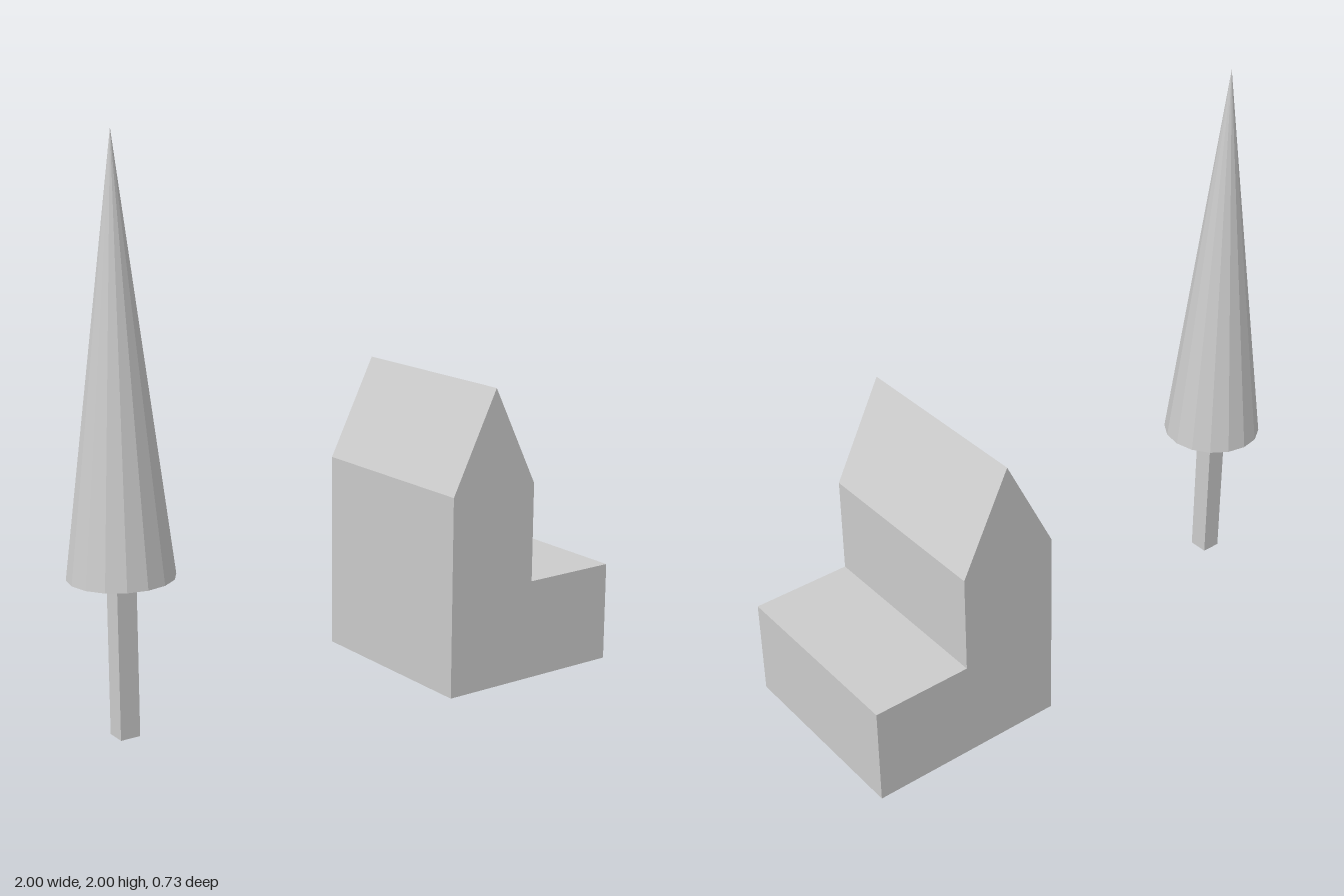
import * as THREE from 'three';

const material = new THREE.MeshStandardMaterial({ color: 0xcccccc, flatShading: true });

function addPart(parent, name, geometry, x = 0, y = 0, z = 0) {
  const mesh = new THREE.Mesh(geometry, material);
  mesh.name = name;
  mesh.position.set(x, y, z);
  parent.add(mesh);
}

// Tall conical tree on a square trunk
function createTree() {
  const tree = new THREE.Group();
  tree.name = 'tree';
  const trunkHeight = 0.55, crownHeight = 1.45;
  addPart(tree, 'trunk', new THREE.BoxGeometry(0.072, trunkHeight, 0.072), 0, trunkHeight / 2);
  addPart(tree, 'crown', new THREE.ConeGeometry(0.18, crownHeight, 16), 0, trunkHeight + crownHeight / 2);
  return tree;
}

// Gabled house with a low flat-roofed annex, one profile extruded along z
function createHouse() {
  const depth = 0.726;
  const profile = new THREE.Shape([
    [0.273, 0], [1, 0], [1, 0.364], [0.636, 0.364],
    [0.636, 0.727], [0.455, 1.09], [0.273, 0.727],
  ].map(([x, y]) => new THREE.Vector2(x, y)));
  const house = new THREE.Group();
  house.name = 'house';
  const walls = new THREE.ExtrudeGeometry(profile, { depth, bevelEnabled: false });
  addPart(house, 'houseWithAnnex', walls, 0, 0, -depth / 2);
  return house;
}

export function createModel() {
  const model = new THREE.Group();
  model.name = 'houseAndTree';
  const tree = createTree();
  tree.position.x = -0.82;
  model.add(tree, createHouse());
  return model;
}
